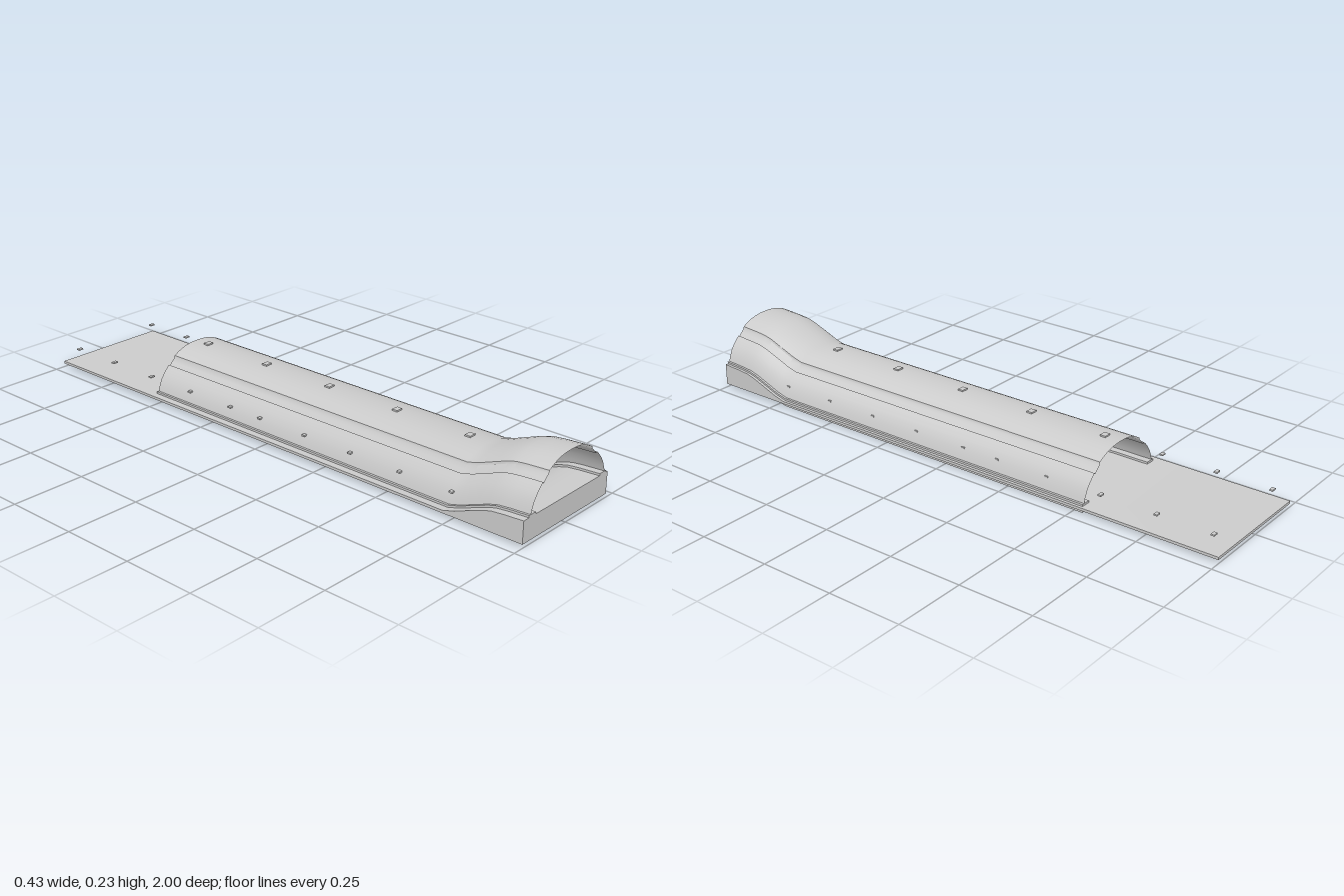
import * as THREE from 'three';
import { toCreasedNormals } from 'three/addons/utils/BufferGeometryUtils.js';

const CX = 0.0075;   // the cover sits slightly off the base centreline
const TAIL = -0.53;  // rear end of the cover
const RAMP = [[0.72, 0], [0.76, 0.011], [0.82, 0.034], [0.86, 0.049], [0.89, 0.057], [0.93, 0.061], [1, 0.065]];

export function createModel() {
  const model = new THREE.Group();
  const solid = new THREE.MeshStandardMaterial({ color: 0xcccccc });
  const sheet = new THREE.MeshStandardMaterial({ color: 0xcccccc, side: THREE.DoubleSide });

  function add(name, geometry, material, x = 0, y = 0, z = 0) {
    const mesh = new THREE.Mesh(geometry, material);
    mesh.name = name;
    mesh.position.set(x, y, z);
    model.add(mesh);
    return mesh;
  }

  // Side outline (z, y) extruded across x
  function sideExtrude(points, width) {
    const shape = new THREE.Shape(points.map(([z, y]) => new THREE.Vector2(z, y)));
    const geo = new THREE.ExtrudeGeometry(shape, { depth: width, bevelEnabled: false });
    geo.rotateY(-Math.PI / 2);
    geo.translate(width / 2, 0, 0);
    return toCreasedNormals(geo, 0.5);
  }

  // Cross-section (x, y) swept along z, rising with the ramp
  function sweep(section) {
    const stations = [[TAIL, 0], ...RAMP];
    const n = section.length, pos = [], idx = [];
    for (const [z, lift] of stations)
      for (const [x, y] of section) pos.push(x, y + lift, z);
    for (let i = 0; i < stations.length - 1; i++)
      for (let j = 0; j < n - 1; j++) {
        const a = i * n + j, b = a + n;
        idx.push(a, b, a + 1, b, b + 1, a + 1);
      }
    const geo = new THREE.BufferGeometry();
    geo.setAttribute('position', new THREE.Float32BufferAttribute(pos, 3));
    geo.setIndex(idx);
    return toCreasedNormals(geo, 0.6);
  }

  // Base plate with the raised front block
  add('basePlate', sideExtrude([[-1, 0.012], [1, 0.012],
    ...RAMP.map(([z, h]) => [z, 0.021 + h]).reverse(), [-1, 0.021]], 0.426), solid);

  // Side rails following the ramp
  const railOutline = [[TAIL, 0], ...RAMP.map(([z, h]) => [z, h]),
    ...RAMP.map(([z, h]) => [z, 0.028 + h]).reverse(), [TAIL, 0.028]];
  for (const s of [-1, 1])
    add(s > 0 ? 'leftRail' : 'rightRail', sideExtrude(railOutline, 0.033), solid, CX + s * 0.179);

  // Arched cover: side walls, shallow grooves and crown in one section
  const half = [[0.188, 0.026], [0.183, 0.042], [0.173, 0.066], [0.16, 0.085], [0.147, 0.099],
    [0.136, 0.109], [0.133, 0.104], [0.122, 0.116], [0.11, 0.127], [0.108, 0.135],
    [0.092, 0.144], [0.074, 0.152], [0.05, 0.159], [0.025, 0.1625]];
  const section = [...half.map(([x, y]) => [-x, y]), [0, 0.1635], ...half.slice().reverse()];
  add('archedCover', sweep(section.reverse()), sheet, CX);

  // Blocks along the crown
  const block = new THREE.BoxGeometry(0.025, 0.011, 0.02);
  for (let i = 0; i < 5; i++) add('crownBlock', block, solid, 0.003, 0.1625, 0.65 - i * 0.28);

  // Pins along both sides, continuing past the rear of the cover
  const pin = new THREE.BoxGeometry(0.018, 0.005, 0.012);
  for (const z of [-0.96, -0.77, -0.575, -0.38, -0.19, -0.055, 0.14, 0.33, 0.525, 0.72])
    for (const s of [-1, 1]) add('sidePin', pin, solid, 0.003 + s * 0.172, 0.065, z);

  return model;
}
